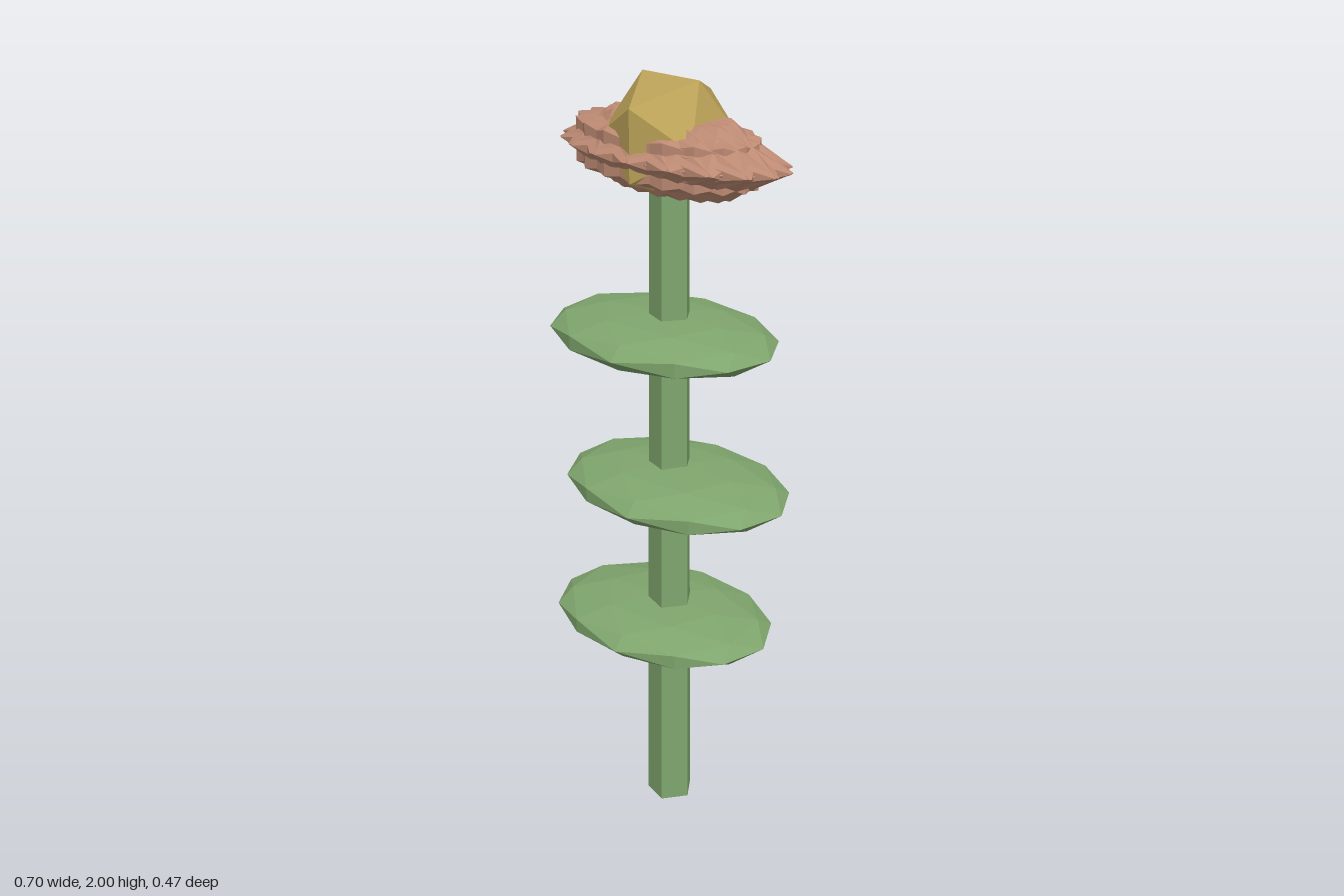
import * as THREE from 'three';

const paint = (color) => new THREE.MeshStandardMaterial({ color, flatShading: true });
const green = paint(0x7fa56d);
const rose = paint(0xbd8a73);
const gold = paint(0xbba258);

function part(name, geometry, material, y) {
  const mesh = new THREE.Mesh(geometry, material);
  mesh.name = name;
  mesh.position.y = y;
  return mesh;
}

// Faceted ellipsoid, turned about y before it is stretched
function blob(detail, turn, rx, ry, rz) {
  return new THREE.IcosahedronGeometry(1, detail).rotateY(turn).scale(rx, ry, rz);
}

// Petal shard: the upper and lower spikes are shorter at the +x end
function petalGeometry(turn) {
  const geometry = blob(0, turn, 0.355, 0.106, 0.16);
  const pos = geometry.attributes.position;
  for (let i = 0; i < pos.count; i++) {
    const x = pos.getX(i);
    const level = Math.abs(pos.getY(i));
    const factor = x < 0 ? 0.95 : level > 0.04 && level < 0.07 ? 0.85 : 1;
    pos.setX(i, x * factor);
  }
  geometry.computeVertexNormals();
  return geometry;
}

export function createModel() {
  const model = new THREE.Group();
  model.name = 'flower';

  // Five-sided tapering stem
  const stem = new THREE.CylinderGeometry(0.052, 0.063, 1.77, 5, 1, false, Math.PI / 2);
  model.add(part('stem', stem, green, 0.885));

  // Flat leaf tiers, every second one turned round
  [0.55, 0.95, 1.35].forEach((y, i) => {
    const leaf = part('leaf', blob(1, 0.13, 0.323, 0.06, 0.237), green, y);
    leaf.position.x = i === 1 ? 0.022 : -0.025;
    leaf.rotation.y = i === 1 ? Math.PI : 0;
    model.add(leaf);
  });

  // Overlapping shards make the spiky petal ring
  const petals = new THREE.Group();
  petals.name = 'petals';
  const count = 9;
  for (let i = 0; i < count; i++) {
    petals.add(part('petal', petalGeometry((i * 2 * Math.PI) / count), rose, 1.82));
  }
  model.add(petals);

  // Faceted centre
  model.add(part('flowerCentre', new THREE.IcosahedronGeometry(0.17, 0), gold, 1.855));
  return model;
}
